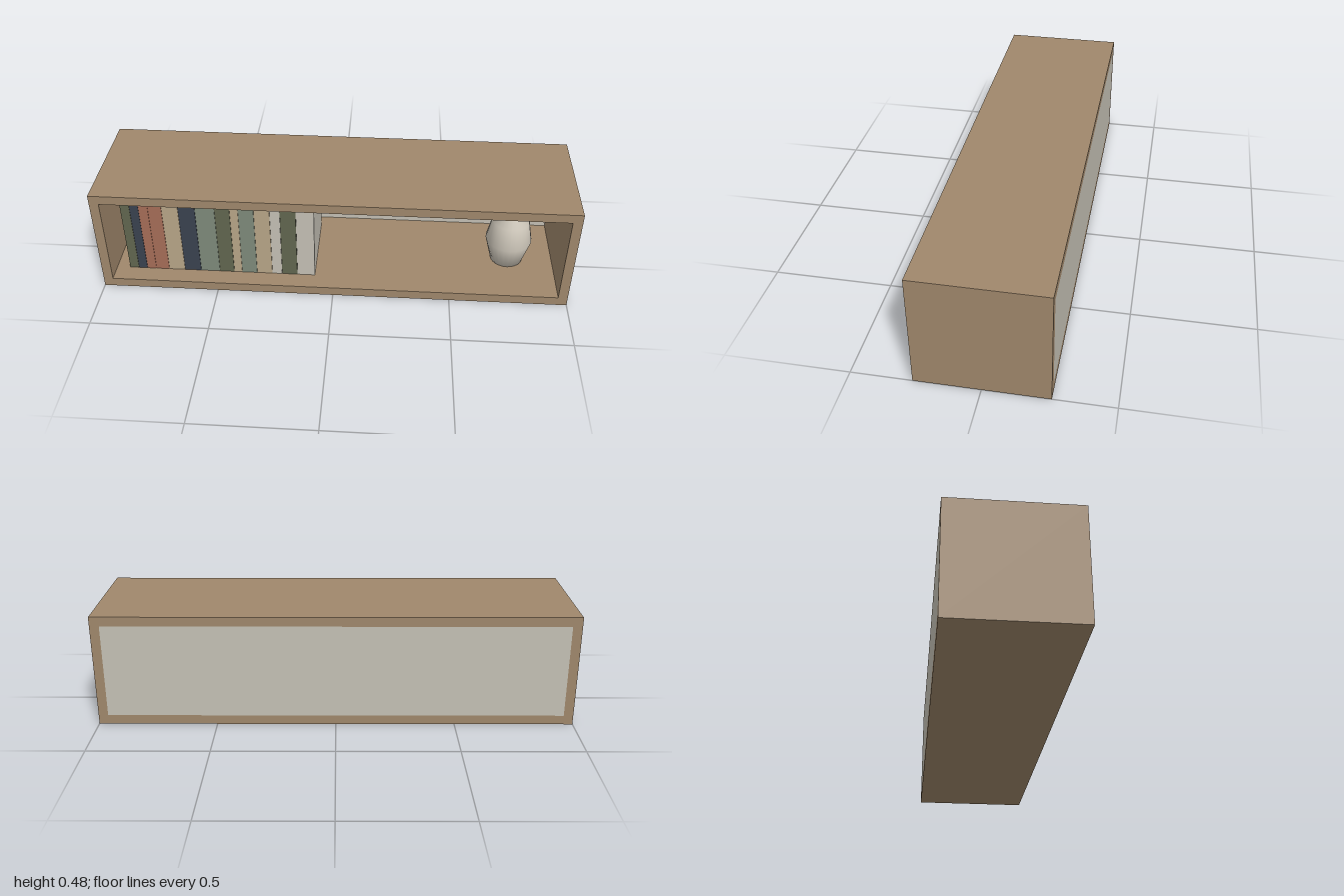
import * as THREE from 'three';

const mat = (name, color, side = THREE.FrontSide) => {
  const m = new THREE.MeshStandardMaterial({ color, side });
  m.name = name;
  return m;
};

export function createModel() {
  const group = new THREE.Group();
  group.name = 'wallShelf';

  const wood = mat('oak', 0xa0886c);
  const offWhite = mat('offWhite', 0xc5c1b6);
  const ceramic = mat('ceramic', 0xcfc8bb, THREE.DoubleSide);
  const olive = mat('olive', 0x62664f);
  const navy = mat('navy', 0x3a4250);
  const clay = mat('terracotta', 0xa66d58);
  const beige = mat('beige', 0xb8a688);
  const sage = mat('sage', 0x7e8a7b);

  const W = 2, H = 0.48, D = 0.52, T = 0.04;

  const box = (name, material, w, h, d, x, y, z) => {
    const mesh = new THREE.Mesh(new THREE.BoxGeometry(w, h, d), material);
    mesh.name = name;
    mesh.position.set(x, y, z);
    group.add(mesh);
    return mesh;
  };

  // Open carcass with a pale back panel
  box('leftSide', wood, T, H, D, W / 2 - T / 2, H / 2, 0);
  box('rightSide', wood, T, H, D, -W / 2 + T / 2, H / 2, 0);
  box('topBoard', wood, W - 2 * T, T, D, 0, H - T / 2, 0);
  box('bottomBoard', wood, W - 2 * T, T, D, 0, T / 2, 0);
  box('backPanel', offWhite, W - 2 * T, H - 2 * T, 0.02, 0, H / 2, -D / 2 + 0.01);

  // Row of books: right edge of each spine, colour, height
  const books = [
    [-0.863, olive], [-0.825, navy], [-0.785, clay], [-0.727, clay],
    [-0.657, beige], [-0.585, navy], [-0.502, sage], [-0.438, olive],
    [-0.403, beige], [-0.337, sage], [-0.27, beige], [-0.227, offWhite],
    [-0.16, olive], [-0.083, offWhite, 0.34],
  ];
  let edge = -0.903;
  books.forEach(([end, material, h = 0.37], i) => {
    box(`book${i + 1}`, material, end - edge - 0.001, h, 0.36, (edge + end) / 2, T + h / 2, 0);
    edge = end;
  });

  // Vase with a narrow neck
  const profile = [
    [0, 0], [0.07, 0], [0.1, 0.11], [0.08, 0.21], [0.045, 0.255], [0.05, 0.28],
  ].map(([r, y]) => new THREE.Vector2(r, y));
  const vase = new THREE.Mesh(new THREE.LatheGeometry(profile, 24), ceramic);
  vase.name = 'vase';
  vase.position.set(0.76, T, 0);
  group.add(vase);

  return group;
}
